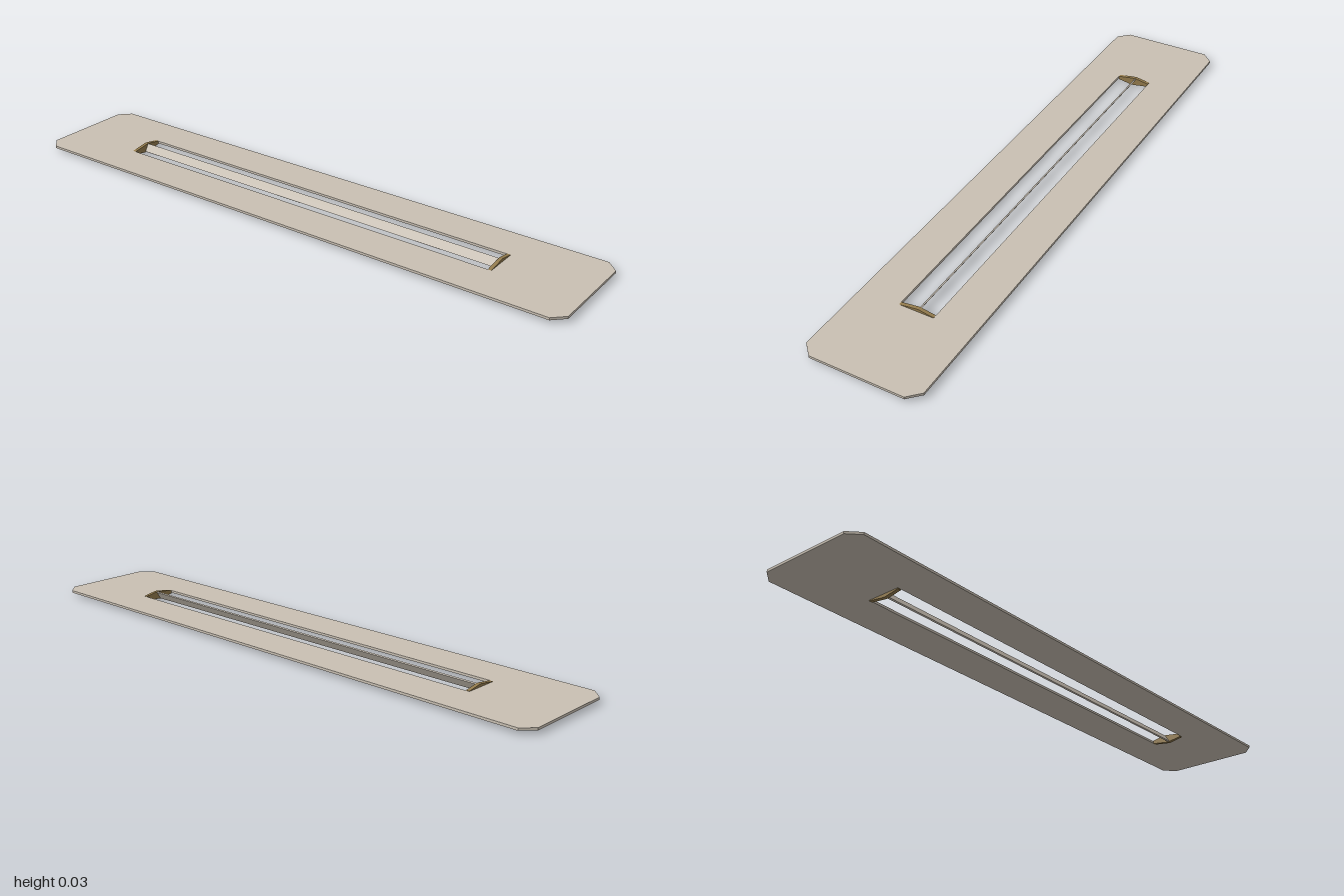
import * as THREE from 'three';

export function createModel() {
  const group = new THREE.Group();
  const panel = new THREE.MeshStandardMaterial({ color: 0xc9c0b3 });
  panel.name = 'warm grey';
  const brass = new THREE.MeshStandardMaterial({ color: 0x937b4d });
  brass.name = 'brass';

  const add = (name, geometry, material) => {
    const mesh = new THREE.Mesh(geometry, material);
    mesh.name = name;
    group.add(mesh);
    return mesh;
  };
  const points = (list) => list.map(([x, y]) => new THREE.Vector2(x, y));
  const midY = 0.0155;

  // Flat plate with chamfered corners and a long slot
  const w = 1, d = 0.192, c = 0.037, sw = 0.712, sd = 0.058, thick = 0.008;
  const outline = new THREE.Shape(points([
    [-w + c, -d], [w - c, -d], [w, -d + c], [w, d - c],
    [w - c, d], [-w + c, d], [-w, d - c], [-w, -d + c],
  ]));
  outline.holes.push(new THREE.Path(points([[-sw, -sd], [-sw, sd], [sw, sd], [sw, -sd]])));
  const plate = new THREE.ExtrudeGeometry(outline, { depth: thick, bevelEnabled: false });
  plate.rotateX(-Math.PI / 2).translate(0, midY + 0.001 - thick / 2, 0);
  add('plate', plate, panel);

  // Tilted slat running along the slot, top edge leaning back
  const slat = add('slat', new THREE.BoxGeometry(1.404, 0.03, 0.005), panel);
  slat.rotation.x = -0.57;
  slat.position.set(0, midY, 0);

  // Lens-shaped brackets holding the slat at both ends
  const half = [[-0.058, 0.005], [-0.004, 0.0135], [0.008, 0.0145], [0.058, 0.006]];
  const lens = new THREE.Shape(points([...half, ...half.map(([x, y]) => [-x, -y])].reverse()));
  for (const side of [-1, 1]) {
    const bracket = new THREE.ExtrudeGeometry(lens, { depth: 0.012, bevelEnabled: false });
    bracket.translate(0, 0, -0.006).rotateY(Math.PI / 2);
    add(side > 0 ? 'leftBracket' : 'rightBracket', bracket, brass)
      .position.set(side * 0.707, midY, 0);
  }
  return group;
}
